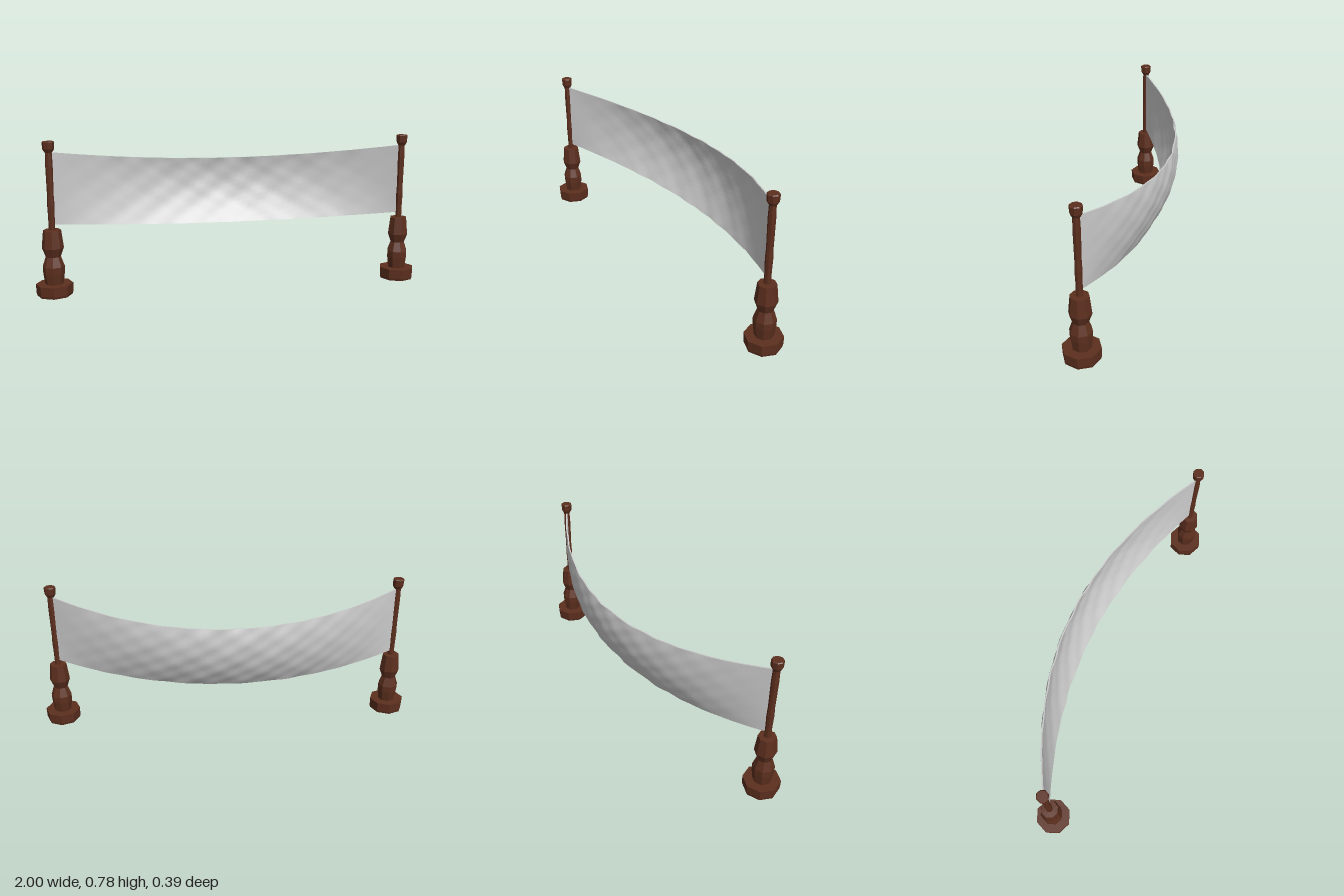
import * as THREE from 'three';

const wood = new THREE.MeshStandardMaterial({ color: 0x5c2f1e, flatShading: true });
const cloth = new THREE.MeshStandardMaterial({ color: 0xcccccc, side: THREE.DoubleSide });

const POST_X = 0.908, POST_Z = 0.104;

// Faceted turned part from [radius, height] pairs
function turned(name, profile, sides = 8) {
  const points = profile.map(([r, y]) => new THREE.Vector2(r, y));
  const mesh = new THREE.Mesh(new THREE.LatheGeometry(points, sides), wood);
  mesh.name = name;
  return mesh;
}

function createPost(name) {
  const post = new THREE.Group();
  post.name = name;
  post.add(
    turned('foot', [[0, 0], [0.086, 0], [0.09, 0.012], [0.092, 0.06], [0, 0.06]]),
    turned('balusterShaft', [[0, 0.055], [0.045, 0.058], [0.053, 0.115], [0.054, 0.15],
      [0.037, 0.2], [0.054, 0.245], [0.044, 0.335], [0, 0.337]]),
    turned('pole', [[0, 0.33], [0.016, 0.33], [0.016, 0.4], [0.018, 0.46], [0.016, 0.51],
      [0.017, 0.58], [0.018, 0.66], [0.016, 0.73], [0, 0.73]]),
    turned('knob', [[0, 0.721], [0.018, 0.721], [0.028, 0.738], [0.03, 0.772], [0.026, 0.776], [0, 0.776]])
  );
  return post;
}

// Hanging sheet: a thin slab bowed backward and sagging between the posts
function createSheet() {
  const geometry = new THREE.BoxGeometry(2, 1, 1, 64, 18, 1);
  const p = geometry.attributes.position;
  for (let i = 0; i < p.count; i++) {
    const t = p.getX(i), v = p.getY(i) + 0.5, side = p.getZ(i);
    const bow = 1 - t * t;
    const belly = 0.205 + 0.24 * v - 0.165 * v * v;
    const wrinkle = 0.0018 * (Math.sin(23 * t + 9 * v) + Math.sin(17 * v - 31 * t + 1.3)
      + Math.sin(41 * t + 27 * v)) * bow;
    const top = 0.722 - 0.083 * bow, bottom = 0.362 - 0.066 * bow;
    // Thickness follows the bowed surface
    const slope = Math.atan(2 * t * belly / 0.9);
    p.setXYZ(i,
      0.9 * t - 0.007 * side * Math.sin(slope),
      bottom + (top - bottom) * v,
      0.1 - belly * bow + wrinkle + 0.007 * side * Math.cos(slope));
  }
  geometry.computeVertexNormals();
  const sheet = new THREE.Mesh(geometry, cloth);
  sheet.name = 'hangingSheet';
  return sheet;
}

export function createModel() {
  const model = new THREE.Group();
  model.name = 'sheetBetweenPosts';
  for (const [name, sign] of [['leftPost', 1], ['rightPost', -1]]) {
    const post = createPost(name);
    post.position.set(sign * POST_X, 0, POST_Z);
    model.add(post);
  }
  model.add(createSheet());
  return model;
}
